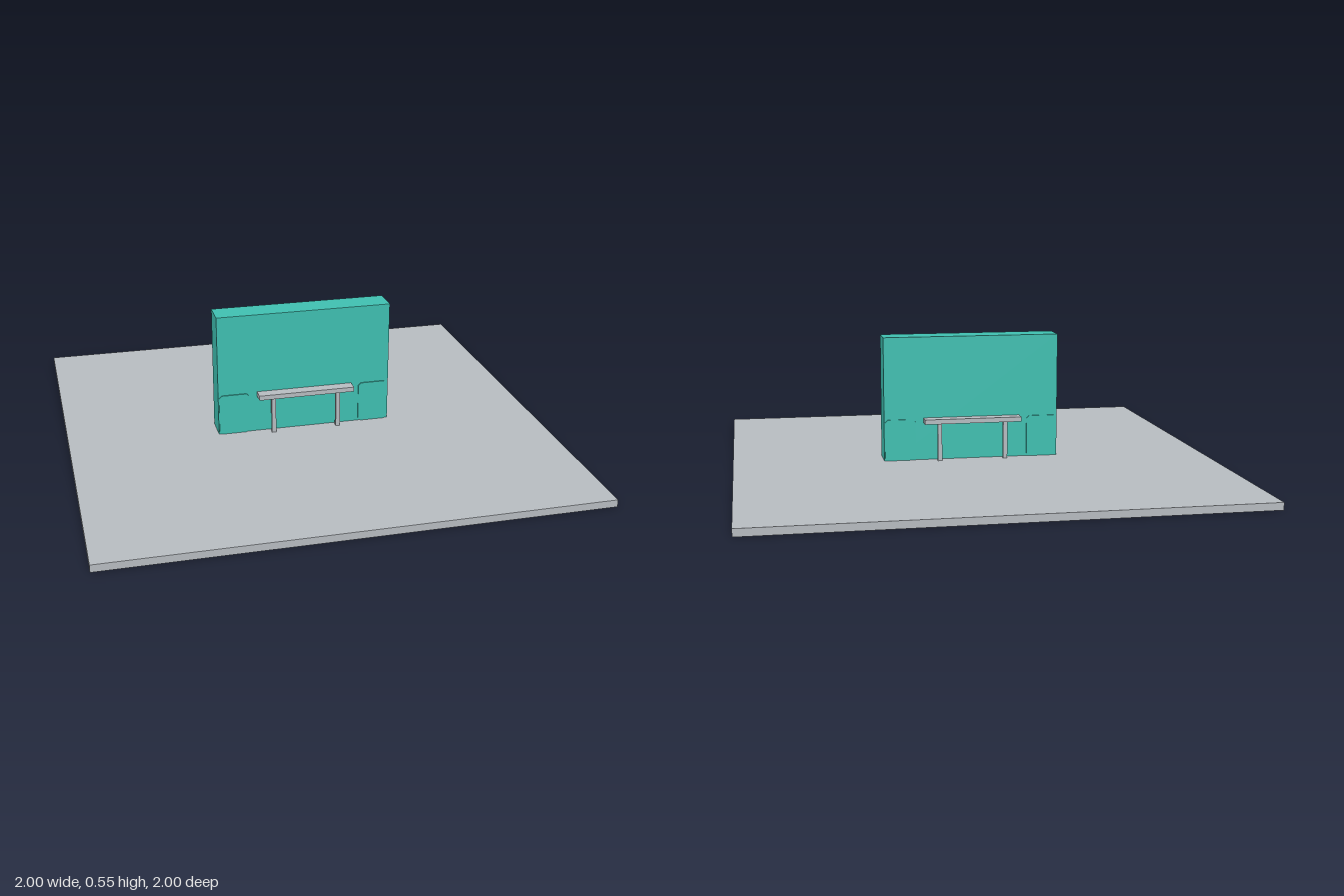
import * as THREE from 'three';

export function createModel() {
  const model = new THREE.Group();
  const teal = new THREE.MeshStandardMaterial({ name: 'teal', color: 0x40c2b3 });
  const grey = new THREE.MeshStandardMaterial({ name: 'grey', color: 0xb9bec3 });
  const wallW = 0.744, wallD = 0.114, wallTop = 0.553, floorTop = 0.03;

  function add(name, geometry, material, x, y, z, parent = model) {
    const mesh = new THREE.Mesh(geometry, material);
    mesh.name = name;
    mesh.position.set(x, y, z);
    parent.add(mesh);
    return mesh;
  }
  const box = (w, h, d) => new THREE.BoxGeometry(w, h, d);

  // Rectangle outline, optionally with chamfered corners
  function rectangle(w, h, c = 0, Type = THREE.Shape) {
    const x = w / 2, y = h / 2;
    const points = c
      ? [[-x + c, -y], [x - c, -y], [x, -y + c], [x, y - c], [x - c, y], [-x + c, y], [-x, y - c], [-x, -y + c]]
      : [[-x, -y], [x, -y], [x, y], [-x, y]];
    return new Type(points.map(([px, py]) => new THREE.Vector2(px, py)));
  }

  // Ground slab, with a slot for the foot of the wall
  const slab = rectangle(2, 2);
  slab.holes.push(rectangle(wallW, wallD, 0, THREE.Path));
  const slabGeometry = new THREE.ExtrudeGeometry(slab, { depth: floorTop, bevelEnabled: false });
  slabGeometry.rotateX(-Math.PI / 2);
  add('groundSlab', slabGeometry, grey, 0, 0, 0);

  // Upright wall
  add('wall', box(wallW, wallTop, wallD), teal, 0, wallTop / 2, 0);

  // Raised panels at the lower ends of both wall faces
  const panelH = 0.175, panelD = 0.124;
  const panelGeometry = new THREE.ExtrudeGeometry(rectangle(0.13, panelH, 0.012), { depth: panelD, bevelEnabled: false });
  for (const side of [-1, 1]) {
    add('endPanel', panelGeometry, teal, side * 0.304, floorTop + panelH / 2, -panelD / 2);
  }

  // A bench on each face of the wall
  const seatBottom = 0.19;
  for (const side of [-1, 1]) {
    const bench = new THREE.Group();
    bench.name = side > 0 ? 'frontBench' : 'backBench';
    add('seat', box(0.412, 0.02, 0.05), grey, 0, seatBottom + 0.01, side * 0.085, bench);
    for (const x of [-0.14, 0.14]) {
      add('leg', box(0.018, seatBottom - floorTop, 0.016), grey, x, (seatBottom + floorTop) / 2, side * 0.085, bench);
    }
    model.add(bench);
  }
  return model;
}
